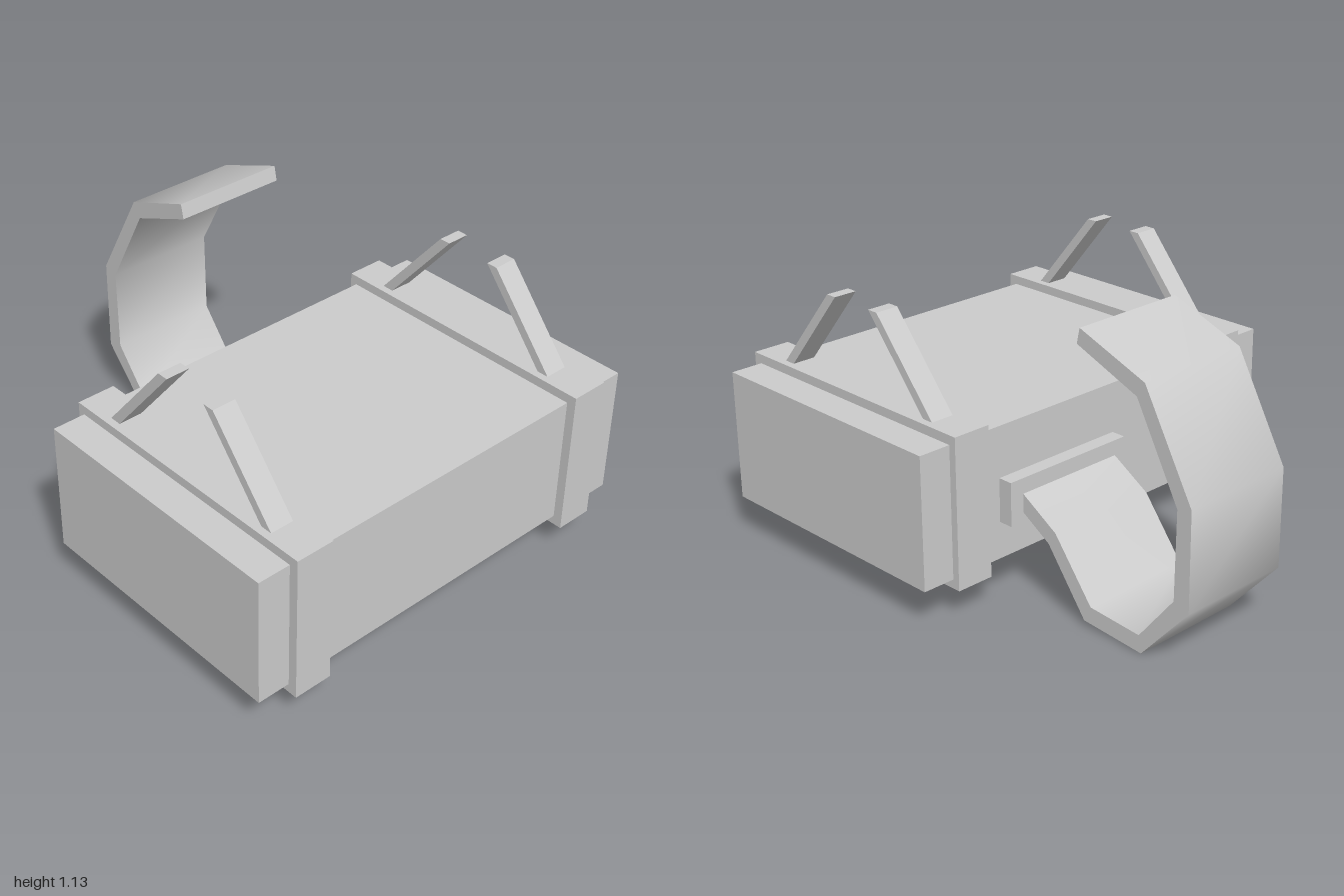
import * as THREE from 'three';
import { toCreasedNormals } from 'three/addons/utils/BufferGeometryUtils.js';

const material = new THREE.MeshStandardMaterial({ color: 0xcccccc });

// Box given by its two opposite corners
function box(name, [x0, y0, z0], [x1, y1, z1]) {
  const mesh = new THREE.Mesh(new THREE.BoxGeometry(x1 - x0, y1 - y0, z1 - z0), material);
  mesh.position.set((x0 + x1) / 2, (y0 + y1) / 2, (z0 + z1) / 2);
  mesh.name = name;
  return mesh;
}

// Side outline in x, y extruded from z0 to z1
function slab(name, outline, z0, z1, crease = 0.2) {
  const shape = new THREE.Shape(outline.map(([x, y]) => new THREE.Vector2(x, y)));
  const geometry = new THREE.ExtrudeGeometry(shape, { depth: z1 - z0, bevelEnabled: false });
  const mesh = new THREE.Mesh(toCreasedNormals(geometry, crease), material);
  mesh.position.z = z0;
  mesh.name = name;
  return mesh;
}

export function createModel() {
  const model = new THREE.Group();
  model.name = 'strappedCase';

  // Main case
  model.add(box('caseBody', [-0.14, 0.157, -0.89], [0.963, 0.683, 0.89]));

  // A raised band near each end, with two slanted struts on top
  const strutBase = 0.71, strutTop = 1.057;
  for (const [side, z] of [['front', 0.678], ['back', -0.678]]) {
    const end = new THREE.Group();
    end.name = side + 'Band';
    end.add(box('band', [-0.17, 0.12, z - 0.078], [1, 0.72, z + 0.078]));
    for (const [label, base, top] of [['rightStrut', -0.024, 0.27], ['leftStrut', 0.799, 0.507]]) {
      end.add(slab(label, [
        [base, strutBase], [base + 0.048, strutBase], [top + 0.046, strutTop], [top, strutTop],
      ], z - 0.048, z + 0.048));
    }
    model.add(end);
  }

  // Mounting plate for the open strap
  model.add(box('strapPlate', [-0.2, 0.305, -0.525], [-0.135, 0.48, 0.062]));

  // Open curled strap: outer edge, then back along the inner edge
  const outer = [[-0.19, 0.35], [-0.33, 0.263], [-0.51, 0.022], [-0.787, 0.002],
    [-1, 0.24], [-1, 0.628], [-0.785, 1.015], [-0.485, 1.128]];
  const inner = [[-0.472, 1.068], [-0.75, 0.957], [-0.938, 0.61], [-0.932, 0.265],
    [-0.775, 0.07], [-0.542, 0.087], [-0.365, 0.317], [-0.19, 0.424]];
  model.add(slab('curledStrap', [...outer, ...inner], -0.465, 0.012, 1.1));

  return model;
}
